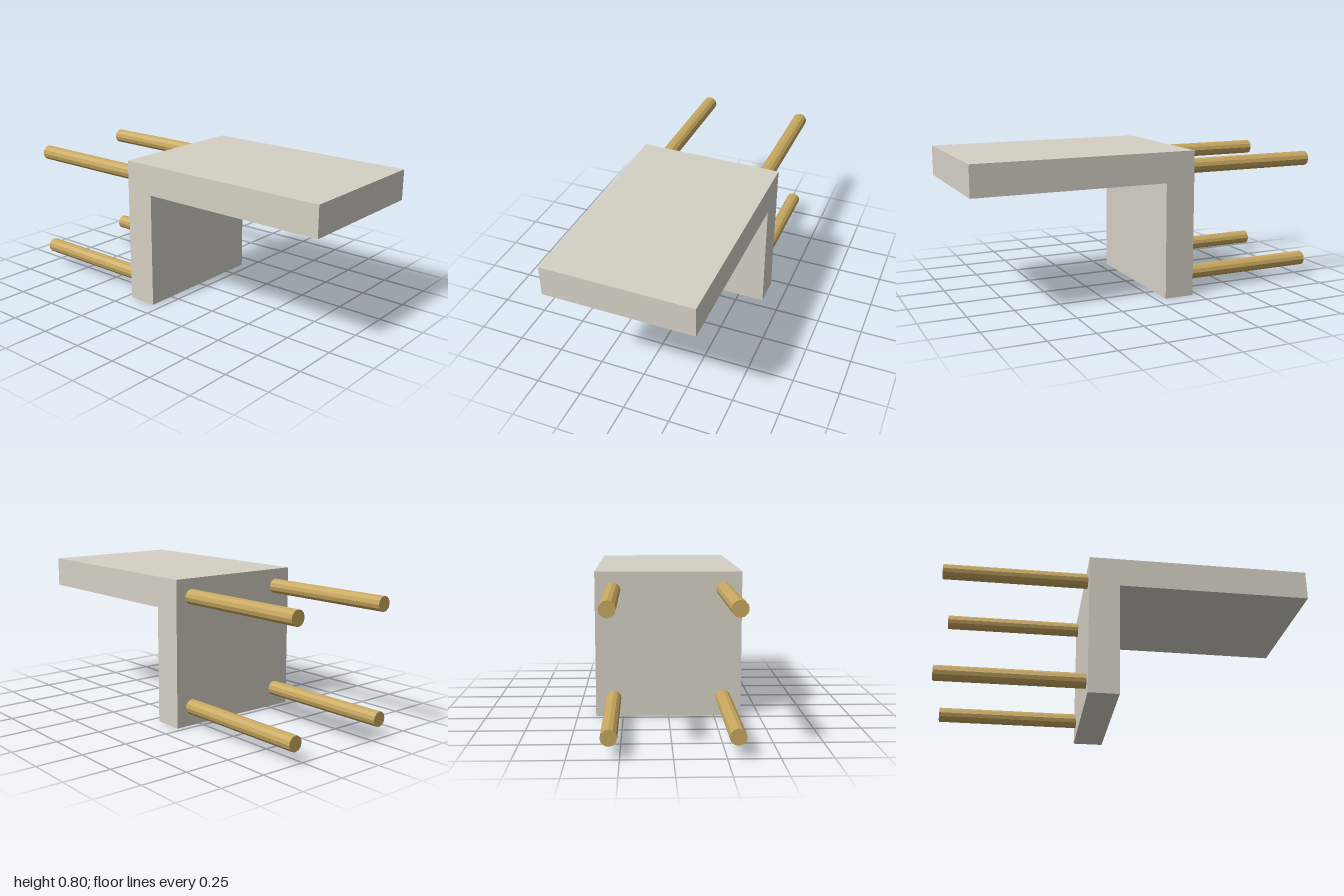
import * as THREE from 'three';

export function createModel() {
  const model = new THREE.Group();
  const stone = new THREE.MeshStandardMaterial({ color: 0xd5d0c5, flatShading: true });
  const brass = new THREE.MeshStandardMaterial({ color: 0xc8a860, flatShading: true });

  const width = 0.797, height = 0.797, thickness = 0.165;
  const front = 1, back = -0.218, rodEnd = -1;

  // L-shaped bracket: side profile in (z, y), extruded across x
  const profile = new THREE.Shape([
    [back, 0], [back + thickness, 0], [back + thickness, height - thickness],
    [front, height - thickness], [front, height], [back, height],
  ].map(([z, y]) => new THREE.Vector2(z, y)));
  const bracketGeometry = new THREE.ExtrudeGeometry(profile, { depth: width, bevelEnabled: false });
  bracketGeometry.translate(0, 0, -width / 2).rotateY(-Math.PI / 2);
  const bracket = new THREE.Mesh(bracketGeometry, stone);
  bracket.name = 'bracket';
  model.add(bracket);

  // Four twelve-sided mounting rods behind the upright plate
  const length = back - rodEnd;
  const rodGeometry = new THREE.CylinderGeometry(0.041, 0.041, length, 12).rotateX(Math.PI / 2);
  for (const [side, x] of [['left', 0.3], ['right', -0.3]]) {
    for (const [level, y] of [['Upper', 0.7], ['Lower', 0.104]]) {
      const rod = new THREE.Mesh(rodGeometry, brass);
      rod.name = `${side}${level}Rod`;
      rod.position.set(x, y, (back + rodEnd) / 2);
      model.add(rod);
    }
  }
  return model;
}
